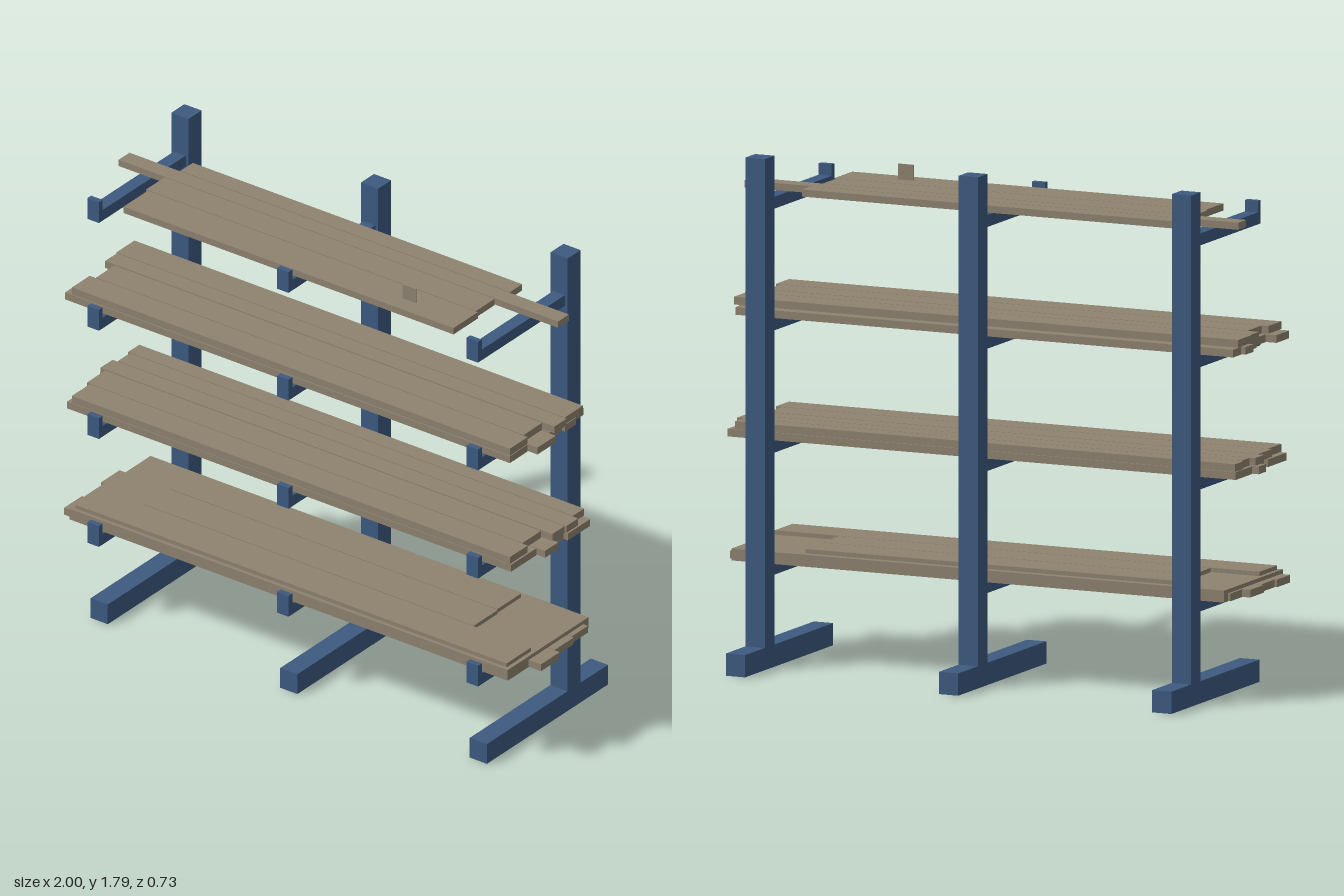
import * as THREE from 'three';

export function createModel() {
  const rack = new THREE.Group();
  rack.name = 'cantileverRack';
  const steel = new THREE.MeshStandardMaterial({ color: 0x3d5a80 });
  steel.name = 'blue steel';
  const wood = new THREE.MeshStandardMaterial({ color: 0x8f8370 });
  wood.name = 'weathered timber';

  // Box given by its lower and upper bounds on each axis
  function box(parent, name, material, x0, x1, y0, y1, z0, z1) {
    const mesh = new THREE.Mesh(new THREE.BoxGeometry(x1 - x0, y1 - y0, z1 - z0), material);
    mesh.position.set((x0 + x1) / 2, (y0 + y1) / 2, (z0 + z1) / 2);
    mesh.name = name;
    parent.add(mesh);
  }

  const armTops = [0.36, 0.788, 1.217, 1.644];

  // Three uprights, each with a foot and four lipped arms
  for (const x of [-0.818, 0, 0.818]) {
    const frame = new THREE.Group();
    frame.name = 'uprightFrame';
    frame.position.x = x;
    box(frame, 'post', steel, -0.037, 0.037, 0.078, 1.793, -0.21, -0.135);
    box(frame, 'foot', steel, -0.037, 0.037, 0, 0.078, -0.367, 0.33);
    for (const y of armTops) {
      box(frame, 'arm', steel, -0.025, 0.025, y - 0.042, y, -0.135, 0.365);
      box(frame, 'armLip', steel, -0.025, 0.025, y, y + 0.04, 0.343, 0.365);
    }
    rack.add(frame);
  }

  // Layers of boards: bottom, top, then [x0, x1, z0, z1] for each board
  const layers = [
    // lowest shelf: sheets with offcuts and thin boards on top
    { name: 'sheetStack', y0: 0.36, y1: 0.402, boards: [[-0.945, 0.945, -0.135, 0.33]] },
    { name: 'lowestBoard', y0: 0.361, y1: 0.388, boards: [
      [-0.98, 0.94, 0.213, 0.316], [-0.972, 0.998, 0.102, 0.209],
      [-0.985, 0.975, -0.01, 0.098], [-0.955, 0.965, -0.105, -0.014]] },
    { name: 'thinBoard', y0: 0.402, y1: 0.417, boards: [
      [-0.93, 0.93, 0.175, 0.316], [-0.745, 0.68, 0.034, 0.171], [-0.74, 0.675, -0.107, 0.03]] },
    // second shelf
    { name: 'secondLowerBoard', y0: 0.788, y1: 0.815, boards: [
      [-0.965, 0.95, 0.172, 0.318], [-0.95, 0.985, 0.092, 0.168],
      [-0.998, 0.96, 0.03, 0.086], [-0.975, 0.975, -0.105, 0.024]] },
    { name: 'secondUpperBoard', y0: 0.817, y1: 0.844, boards: [
      [-0.945, 0.945, 0.215, 0.318], [-0.96, 0.92, 0.106, 0.211], [-0.985, 0.965, 0.03, 0.1],
      [-0.965, 0.97, -0.042, 0.026], [-0.975, 0.945, -0.11, -0.046]] },
    // third shelf
    { name: 'thirdLowerBoard', y0: 1.217, y1: 1.244, boards: [
      [-0.975, 0.945, 0.216, 0.318], [-0.935, 0.985, 0.106, 0.212], [-0.955, 0.955, 0.03, 0.1],
      [-0.98, 0.965, -0.037, 0.026], [-0.965, 0.945, -0.105, -0.041]] },
    { name: 'thirdUpperBoard', y0: 1.247, y1: 1.274, boards: [
      [-0.945, 0.945, 0.215, 0.318], [-0.92, 0.925, 0.106, 0.211],
      [-0.965, 0.975, 0.032, 0.1], [-0.97, 0.965, -0.076, 0.028]] },
    // top shelf
    { name: 'topBoard', y0: 1.645, y1: 1.67, boards: [
      [-0.722, 0.702, 0.178, 0.318], [-0.732, 0.692, 0.068, 0.174],
      [-0.933, 0.963, 0.002, 0.064], [-0.715, 0.706, -0.072, -0.002]] },
  ];
  for (const { name, y0, y1, boards } of layers) {
    for (const [x0, x1, z0, z1] of boards) box(rack, name, wood, x0, x1, y0, y1, z0, z1);
  }

  // Small upright tag on the top boards and plate on the middle post
  box(rack, 'topTag', wood, 0.435, 0.493, 1.67, 1.725, 0.251, 0.255);
  box(rack, 'postPlate', wood, -0.035, 0.035, 0.153, 0.179, -0.135, -0.131);

  return rack;
}
